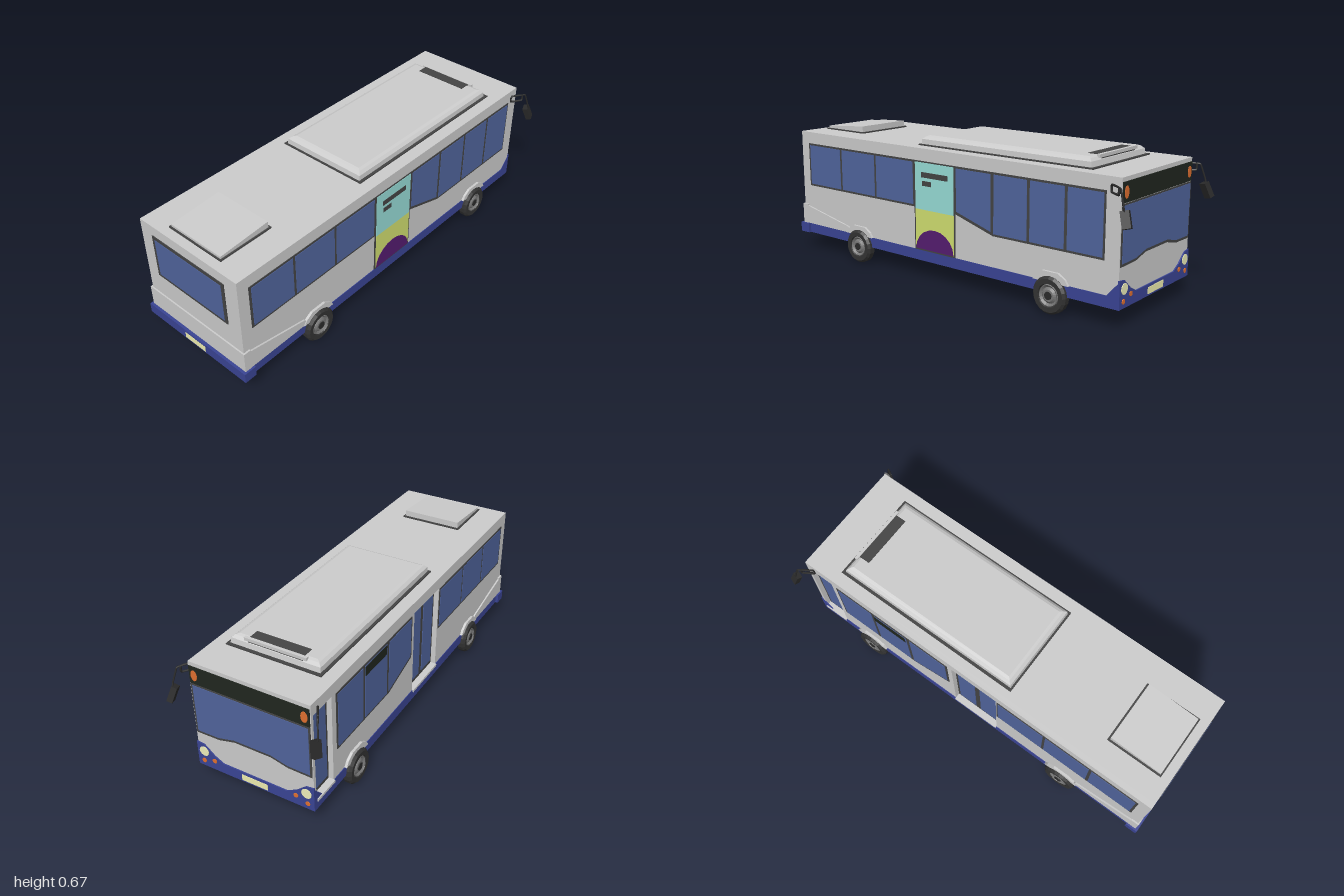
import * as THREE from 'three';

const mat = (color, extra = {}) => new THREE.MeshStandardMaterial({ color, ...extra });
const M = {
  grey: mat(0xcccccc), blue: mat(0x3a4494), under: mat(0x2f3780), glass: mat(0x50649c),
  trim: mat(0x444444), black: mat(0x2a2a2a), sign: mat(0x20261f), plate: mat(0xf0eeb0),
  orange: mat(0xe07030), lamp: mat(0xeeeebb), teal: mat(0x96dcd6), lime: mat(0xd0de70),
  purple: mat(0x551c70), tyre: mat(0x333333, { flatShading: true }),
  rim: mat(0x777777, { flatShading: true }),
};

// Each body face: turn about y and sign of the drawing axis (z on the sides, x on the ends)
const FACES = {
  right: [Math.PI / 2, -1], left: [-Math.PI / 2, 1], rear: [0, 1], front: [Math.PI, -1],
};
const rect = (a, b, y0, y1) => [[a, y0], [b, y0], [b, y1], [a, y1]];

export function createModel() {
  const bus = new THREE.Group();
  bus.name = 'bus';

  function add(name, geo, material, parent = bus) {
    const m = new THREE.Mesh(geo, material);
    m.name = name;
    parent.add(m);
    return m;
  }
  function box(name, x0, x1, y0, y1, z0, z1, material) {
    const g = new THREE.BoxGeometry(x1 - x0, y1 - y0, z1 - z0);
    g.translate((x0 + x1) / 2, (y0 + y1) / 2, (z0 + z1) / 2);
    return add(name, g, material);
  }
  // Flat plate lying on a body face, outline in world coordinates
  function plate(name, face, pts, base, depth, material, holes = []) {
    const [turn, s] = FACES[face];
    const vec = (l) => l.map(([a, y]) => new THREE.Vector2(a * s, y));
    const shape = new THREE.Shape(vec(pts));
    holes.forEach((h) => shape.holes.push(new THREE.Path(vec(h))));
    const g = new THREE.ExtrudeGeometry(shape, { depth, bevelEnabled: false });
    g.translate(0, 0, base).rotateY(turn);
    return add(name, g, material);
  }
  // Round lamp on a body face
  function lamp(name, face, a, y, rx, ry, base, material) {
    const pts = Array.from({ length: 14 }, (_, i) => {
      const t = (i / 14) * Math.PI * 2;
      return [a + rx * Math.cos(t), y + ry * Math.sin(t)];
    });
    plate(name, face, pts, base, 0.006, material);
  }
  // Stacked rectangles [y, halfWidth, z0, z1] joined into a chamfered solid
  function loft(name, rows, material) {
    const pos = [];
    const ring = ([y, w, a, b]) => [[-w, y, b], [w, y, b], [w, y, a], [-w, y, a]];
    const quad = (a, b, c, d) => pos.push(...a, ...b, ...c, ...a, ...c, ...d);
    for (let i = 0; i < rows.length - 1; i++) {
      const lo = ring(rows[i]), hi = ring(rows[i + 1]);
      for (let k = 0; k < 4; k++) quad(lo[k], lo[(k + 1) % 4], hi[(k + 1) % 4], hi[k]);
    }
    quad(...ring(rows[rows.length - 1]));
    const g = new THREE.BufferGeometry();
    g.setAttribute('position', new THREE.Float32BufferAttribute(pos, 3));
    g.computeVertexNormals();
    return add(name, g, material);
  }

  // Body shell, with door openings recessed into the left wall
  const doors = [[-0.905, -0.775], [-0.075, 0.172]];
  box('body', -0.262, 0.29, 0.135, 0.62, -0.92, 0.98, M.grey);
  plate('doorSideWall', 'left', rect(-0.92, 0.98, 0.135, 0.62), 0.262, 0.028, M.grey,
    doors.map(([a, b]) => rect(a, b, 0.14, 0.565)));
  box('skirt', -0.293, 0.293, 0.088, 0.138, -0.92, 0.96, M.blue);
  box('underside', -0.285, 0.285, 0.086, 0.09, -0.915, 0.98, M.under);
  box('rearBumper', -0.307, 0.307, 0.088, 0.137, 0.94, 1.0, M.blue);
  box('rearLowerPanel', -0.298, 0.298, 0.137, 0.238, 0.95, 0.987, M.grey);

  // Flared rear quarters, wheel arches, front corner trims
  for (const face of ['right', 'left']) {
    plate('rearQuarter', face, [[0.985, 0.138], [0.985, 0.238], [0.64, 0.168], [0.62, 0.138]],
      0.288, 0.01, M.grey);
    for (const z of [0.557, -0.6]) {
      plate('wheelArch', face, [[z - 0.09, 0.138], [z - 0.075, 0.162], [z - 0.04, 0.184],
        [z + 0.04, 0.184], [z + 0.075, 0.162], [z + 0.09, 0.138]], 0.288, 0.014, M.grey);
    }
    plate('cornerTrim', face, [[-0.925, 0.137], [-0.865, 0.137], [-0.925, 0.205]],
      0.288, 0.005, M.blue);
  }

  // Side windows: dark frame with panes on top
  function windows(face, outline, panes) {
    plate('windowFrame', face, outline, 0.289, 0.004, M.trim);
    panes.forEach((p) => plate('windowPane', face, p, 0.29, 0.005, M.glass));
  }
  for (const face of ['right', 'left']) {
    windows(face, rect(0.178, 0.925, 0.342, 0.562),
      [[0.186, 0.43], [0.443, 0.674], [0.688, 0.914]].map(([a, b]) => rect(a, b, 0.352, 0.553)));
  }
  windows('right', [[-0.07, 0.562], [-0.07, 0.345], [-0.29, 0.28], [-0.852, 0.28], [-0.852, 0.562]], [
    [[-0.08, 0.553], [-0.08, 0.357], [-0.278, 0.298], [-0.278, 0.553]],
    ...[[-0.472, -0.294], [-0.66, -0.487], [-0.844, -0.675]].map(([a, b]) => rect(a, b, 0.29, 0.553)),
  ]);
  windows('left', [[-0.1, 0.562], [-0.1, 0.345], [-0.31, 0.28], [-0.745, 0.28], [-0.745, 0.562]], [
    [[-0.11, 0.553], [-0.11, 0.357], [-0.315, 0.293], [-0.315, 0.553]],
    ...[[-0.52, -0.333], [-0.735, -0.537]].map(([a, b]) => rect(a, b, 0.29, 0.553)),
  ]);
  plate('sideSign', 'left', rect(-0.52, -0.34, 0.505, 0.55), 0.292, 0.005, M.sign);

  // Doors: glazed leaves in dark frames
  function door(a, b, leaves) {
    plate('doorFrame', 'left', rect(a, b, 0.14, 0.565), 0.262, 0.004, M.trim);
    const w = (b - a) / leaves;
    for (let i = 0; i < leaves; i++) {
      plate('doorGlass', 'left', rect(a + i * w + 0.014, a + (i + 1) * w - 0.014, 0.16, 0.55),
        0.263, 0.006, M.glass);
    }
    box('doorSill', -0.298, -0.262, 0.128, 0.14, a, b, M.grey);
  }
  door(...doors[0], 1);
  door(...doors[1], 2);

  // Coloured panel on the right side
  plate('panelFrame', 'right', rect(-0.072, 0.178, 0.138, 0.562), 0.289, 0.004, M.trim);
  plate('panelUpper', 'right', rect(-0.065, 0.17, 0.335, 0.556), 0.29, 0.005, M.teal);
  plate('panelLower', 'right', rect(-0.065, 0.17, 0.146, 0.335), 0.29, 0.005, M.lime);
  plate('panelArc', 'right', Array.from({ length: 11 }, (_, i) => {
    const t = (i / 10) * Math.PI;
    return [0.0525 + 0.1155 * Math.cos(t), 0.146 + 0.1 * Math.sin(t)];
  }), 0.29, 0.0065, M.purple);
  plate('panelBar', 'right', rect(-0.03, 0.13, 0.487, 0.512), 0.29, 0.0065, M.trim);
  plate('panelBar', 'right', rect(0.07, 0.125, 0.448, 0.471), 0.29, 0.0065, M.trim);

  // Rear window and number plate
  plate('rearWindowFrame', 'rear', rect(-0.218, 0.215, 0.354, 0.571), 0.979, 0.005, M.trim);
  plate('rearWindow', 'rear', rect(-0.202, 0.199, 0.368, 0.556), 0.98, 0.006, M.glass);
  plate('rearPlateHolder', 'rear', rect(-0.072, 0.069, 0.091, 0.135), 0.994, 0.008, M.blue);
  plate('rearPlate', 'rear', rect(-0.065, 0.063, 0.097, 0.127), 0.996, 0.007, M.plate);

  // Front: windscreen, destination panel, bumper and lamps
  const screen = (w, top, lift) => [[-w, top], [-w, 0.262 + lift], [-0.17, 0.264 + lift],
    [-0.09, 0.284 + lift], [0.09, 0.284 + lift], [0.17, 0.264 + lift], [w, 0.262 + lift], [w, top]];
  plate('windscreenFrame', 'front', screen(0.286, 0.515, 0), 0.919, 0.004, M.trim);
  plate('windscreen', 'front', screen(0.277, 0.508, 0.012), 0.92, 0.005, M.glass);
  plate('destinationPanel', 'front', rect(-0.286, 0.286, 0.518, 0.602), 0.919, 0.005, M.sign);
  plate('frontBumper', 'front', [[-0.293, 0.088], [0.293, 0.088], [0.293, 0.21], [0.255, 0.205],
    [0.205, 0.162], [0.16, 0.138], [-0.16, 0.138], [-0.205, 0.162], [-0.255, 0.205],
    [-0.293, 0.21]], 0.918, 0.008, M.blue);
  plate('frontPlate', 'front', rect(-0.065, 0.065, 0.096, 0.126), 0.922, 0.006, M.plate);
  for (const s of [1, -1]) {
    lamp('headlamp', 'front', s * 0.257, 0.17, 0.024, 0.024, 0.923, M.lamp);
    lamp('indicator', 'front', s * 0.205, 0.137, 0.011, 0.011, 0.923, M.orange);
    lamp('fogLamp', 'front', s * 0.262, 0.118, 0.011, 0.011, 0.923, M.orange);
    lamp('upperIndicator', 'front', s * 0.262, 0.56, 0.016, 0.026, 0.92, M.orange);
  }

  // Roof unit with vent slot, and rear hatch
  loft('roofUnitBase', [[0.619, 0.23, -0.75, 0.208], [0.625, 0.23, -0.75, 0.208]], M.trim);
  loft('roofUnit', [[0.62, 0.217, -0.736, 0.2], [0.648, 0.215, -0.73, 0.196],
    [0.66, 0.202, -0.718, 0.182], [0.665, 0.188, -0.705, 0.17]], M.grey);
  box('roofVent', -0.132, 0.132, 0.64, 0.667, -0.728, -0.662, M.trim);
  box('roofVentBar', -0.15, 0.15, 0.655, 0.669, -0.73, -0.715, M.grey);
  box('hatchBase', -0.156, 0.156, 0.619, 0.626, 0.665, 0.937, M.trim);
  const hatch = box('rearHatch', -0.148, 0.148, 0.62, 0.655, 0.675, 0.93, M.grey);
  const hp = hatch.geometry.attributes.position;
  for (let i = 0; i < hp.count; i++) {
    if (hp.getY(i) > 0.64 && hp.getZ(i) > 0.8) hp.setY(i, 0.637);
  }
  hatch.geometry.computeVertexNormals();

  // Wheels with rims and stub axles
  const prof = (l) => l.map(([r, y]) => new THREE.Vector2(r, y));
  const tyre = new THREE.LatheGeometry(prof([[0, -0.02], [0.07, -0.02], [0.083, -0.014],
    [0.083, 0.012], [0.073, 0.023], [0.052, 0.022], [0.048, 0.012]]), 20);
  const rim = new THREE.LatheGeometry(prof([[0.05, 0.012], [0.046, 0.02], [0.036, 0.012],
    [0.034, 0.014], [0.026, 0.02], [0, 0.02]]), 20);
  const axle = new THREE.CylinderGeometry(0.014, 0.014, 0.1, 10).translate(0, -0.06, 0);
  const lug = new THREE.CylinderGeometry(0.018, 0.018, 0.004, 10).translate(0, 0.022, 0);
  for (const s of [1, -1]) {
    for (const z of [0.557, -0.6]) {
      const wheel = new THREE.Group();
      wheel.name = 'wheel';
      wheel.position.set(s * 0.292, 0.083, z);
      wheel.rotation.z = -s * Math.PI / 2;
      add('tyre', tyre, M.tyre, wheel);
      add('rim', rim, M.rim, wheel);
      add('hubCap', lug, M.black, wheel);
      add('axle', axle, M.black, wheel);
      bus.add(wheel);
    }
  }

  // Door mirrors: loop bracket, drooping arm, tilted head
  for (const s of [1, -1]) {
    const tube = (name, pts, r, closed) => {
      const c = new THREE.CatmullRomCurve3(pts.map(([x, y, z]) => new THREE.Vector3(s * x, y, z)),
        closed, 'catmullrom', 0.15);
      add(name, new THREE.TubeGeometry(c, 24, r, 6, closed), M.black);
    };
    tube('mirrorBracket', [[0.293, 0.588, -0.876], [0.324, 0.588, -0.925],
      [0.324, 0.559, -0.925], [0.293, 0.559, -0.876]], 0.005, true);
    tube('mirrorArm', [[0.322, 0.588, -0.922], [0.333, 0.585, -0.94], [0.345, 0.52, -0.96],
      [0.343, 0.49, -0.967]], 0.004, false);
    const head = add('mirrorHead', new THREE.BoxGeometry(0.026, 0.07, 0.036), M.black);
    head.position.set(s * 0.342, 0.473, -0.971);
    head.rotation.set(0.25, s * 0.35, s * 0.25);
  }
  return bus;
}
